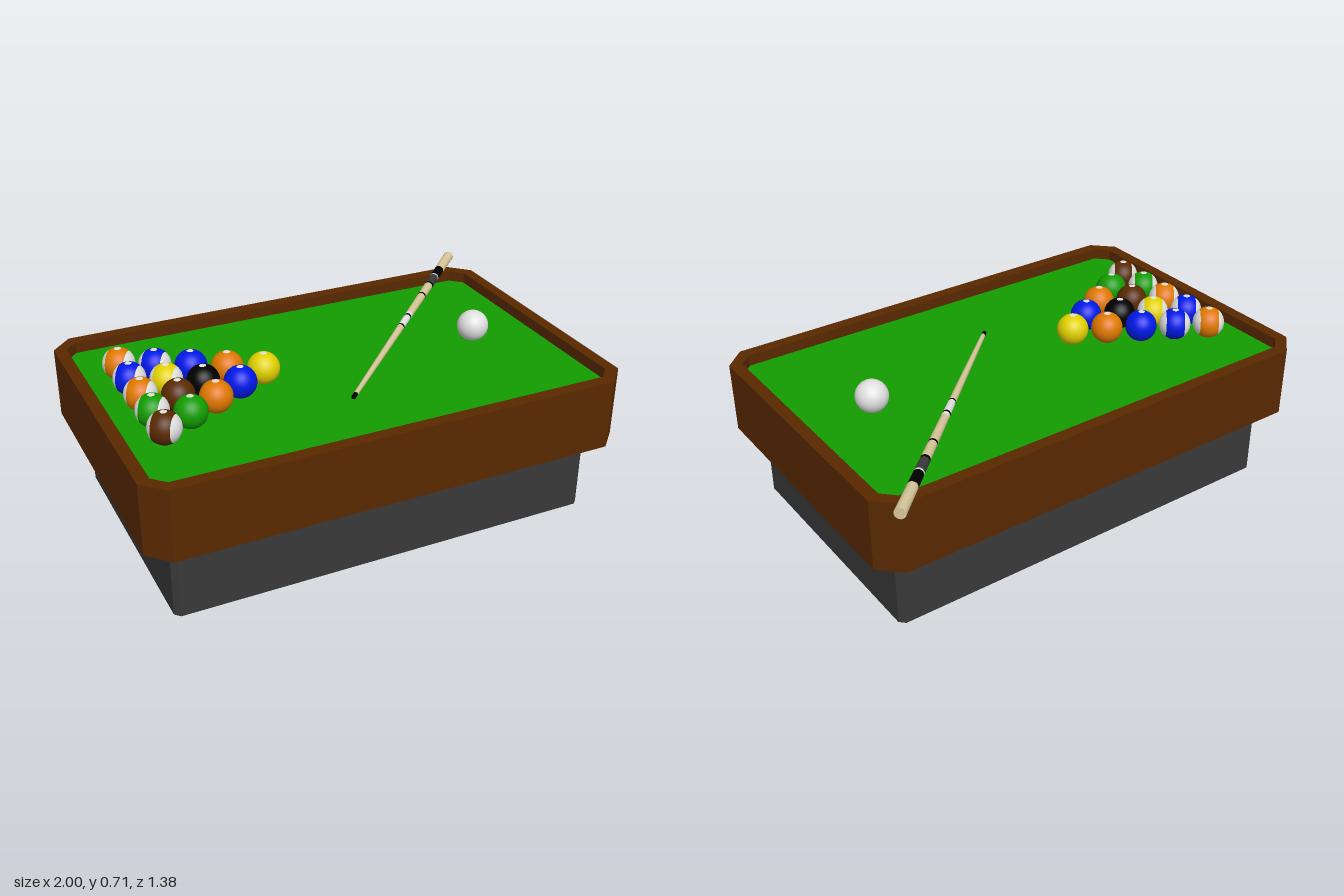
import * as THREE from 'three';

const mat = (name, color) => {
  const m = new THREE.MeshStandardMaterial({ color });
  m.name = name;
  return m;
};

// Rectangle with cut corners, centred on the origin
function cutRect(Type, hx, hz, c) {
  const p = [[hx - c, -hz], [hx, -hz + c], [hx, hz - c], [hx - c, hz],
    [-hx + c, hz], [-hx, hz - c], [-hx, -hz + c], [-hx + c, -hz]];
  return new Type(p.map(([x, y]) => new THREE.Vector2(x, y)));
}

export function createModel() {
  const wood = mat('brown wood', 0x592900);
  const felt = mat('green felt', 0x139c00);
  const charcoal = mat('charcoal base', 0x393939);
  const cream = mat('cream maple', 0xd6c598);
  const black = mat('black', 0x000000);
  const white = mat('white', 0xe0e0e0);
  const yellow = mat('yellow', 0xe0d000);
  const orange = mat('orange', 0xde7800);
  const blue = mat('blue', 0x0018e6);

  const model = new THREE.Group();
  model.name = 'poolTable';
  const add = (parent, name, geometry, material) => {
    const mesh = new THREE.Mesh(geometry, material);
    mesh.name = name;
    parent.add(mesh);
    return mesh;
  };

  // Table: horizontal slabs stacked from the floor up, black on the underside
  const slab = (name, shape, y0, y1, material) => {
    const g = new THREE.ExtrudeGeometry(shape, { depth: y1 - y0, bevelEnabled: false });
    g.rotateX(-Math.PI / 2);
    g.translate(0, y0, 0.039);
    add(model, name, g, material);
  };
  const feltY = 0.575;
  slab('base', cutRect(THREE.Shape, 0.895, 0.545, 0.022), 0, 0.326, [black, charcoal]);
  slab('tableBody', cutRect(THREE.Shape, 1, 0.648, 0.085), 0.326, 0.57, [black, wood]);
  const rim = cutRect(THREE.Shape, 1, 0.648, 0.085);
  rim.holes.push(cutRect(THREE.Path, 0.95, 0.596, 0.05));
  slab('rim', rim, 0.57, 0.622, wood);
  slab('playingSurface', cutRect(THREE.Shape, 0.95, 0.596, 0.05), 0.57, feltY, felt);

  // Balls: a coloured band between two caps, with a spot on top
  const r = 0.066;
  const zone = (a, b, radius = r) => new THREE.SphereGeometry(radius, 32, 14, 0, Math.PI * 2, a, b - a);
  const cap = 0.95;
  const stripeAxis = new THREE.Vector3(Math.sin(0.92), 0, Math.cos(0.92));
  const up = new THREE.Vector3(0, 1, 0);
  function ball(name, x, z, color, striped, spot = true) {
    const g = new THREE.Group();
    g.name = name;
    g.position.set(x, feltY + r, z);
    if (striped) {
      const shell = new THREE.Group();
      shell.name = 'stripedShell';
      shell.quaternion.setFromUnitVectors(up, stripeAxis);
      add(shell, 'frontCap', zone(0, cap), white);
      add(shell, 'stripe', zone(cap, Math.PI - cap), color);
      add(shell, 'backCap', zone(Math.PI - cap, Math.PI), white);
      g.add(shell);
    } else {
      add(g, 'shell', new THREE.SphereGeometry(r, 32, 24), color);
    }
    if (spot) add(g, 'spot', zone(0, 0.21, r + 0.001), white);
    model.add(g);
  }

  // Triangular rack, from the apex to the back row: [colour, striped]
  const rack = [
    [[yellow, false]],
    [[orange, false], [blue, false]],
    [[blue, false], [black, false], [orange, false]],
    [[blue, true], [yellow, true], [wood, false], [felt, false]],
    [[orange, true], [blue, true], [orange, true], [felt, true], [wood, true]],
  ];
  rack.forEach((row, i) => row.forEach(([color, striped], j) => {
    ball(striped ? 'stripedBall' : 'solidBall', -0.293 - i * 0.127, 0.023 + (j - i / 2) * 0.142, color, striped);
  }));
  ball('cueBall', 0.664, 0.038, white, false, false);

  // Cue: tapered sections from tip to butt, resting on the rim
  const tip = new THREE.Vector3(-0.033, 0.583, 0.302);
  const butt = new THREE.Vector3(0.963, 0.645, -0.676);
  const length = tip.distanceTo(butt);
  const cue = new THREE.Group();
  cue.name = 'cue';
  cue.position.copy(tip);
  cue.quaternion.setFromUnitVectors(up, butt.clone().sub(tip).normalize());
  const radius = (t) => 0.009 + 0.0135 * t;
  const sections = [
    ['tip', 0, 0.02, black], ['shaft', 0.02, 0.443, cream],
    ['ring', 0.443, 0.45, black], ['joint', 0.45, 0.512, white],
    ['ring', 0.512, 0.52, black], ['collar', 0.52, 0.535, white],
    ['forearm', 0.535, 0.668, cream],
    ['ring', 0.668, 0.676, black], ['forearm', 0.676, 0.75, cream],
    ['ring', 0.75, 0.76, black], ['wrap', 0.76, 0.815, charcoal],
    ['ring', 0.815, 0.822, white], ['collar', 0.822, 0.88, black],
    ['butt', 0.88, 1, cream],
  ];
  for (const [name, a, b, material] of sections) {
    const g = new THREE.CylinderGeometry(radius(b), radius(a), (b - a) * length, 20);
    add(cue, name, g, material).position.y = (a + b) / 2 * length;
  }
  model.add(cue);

  return model;
}
